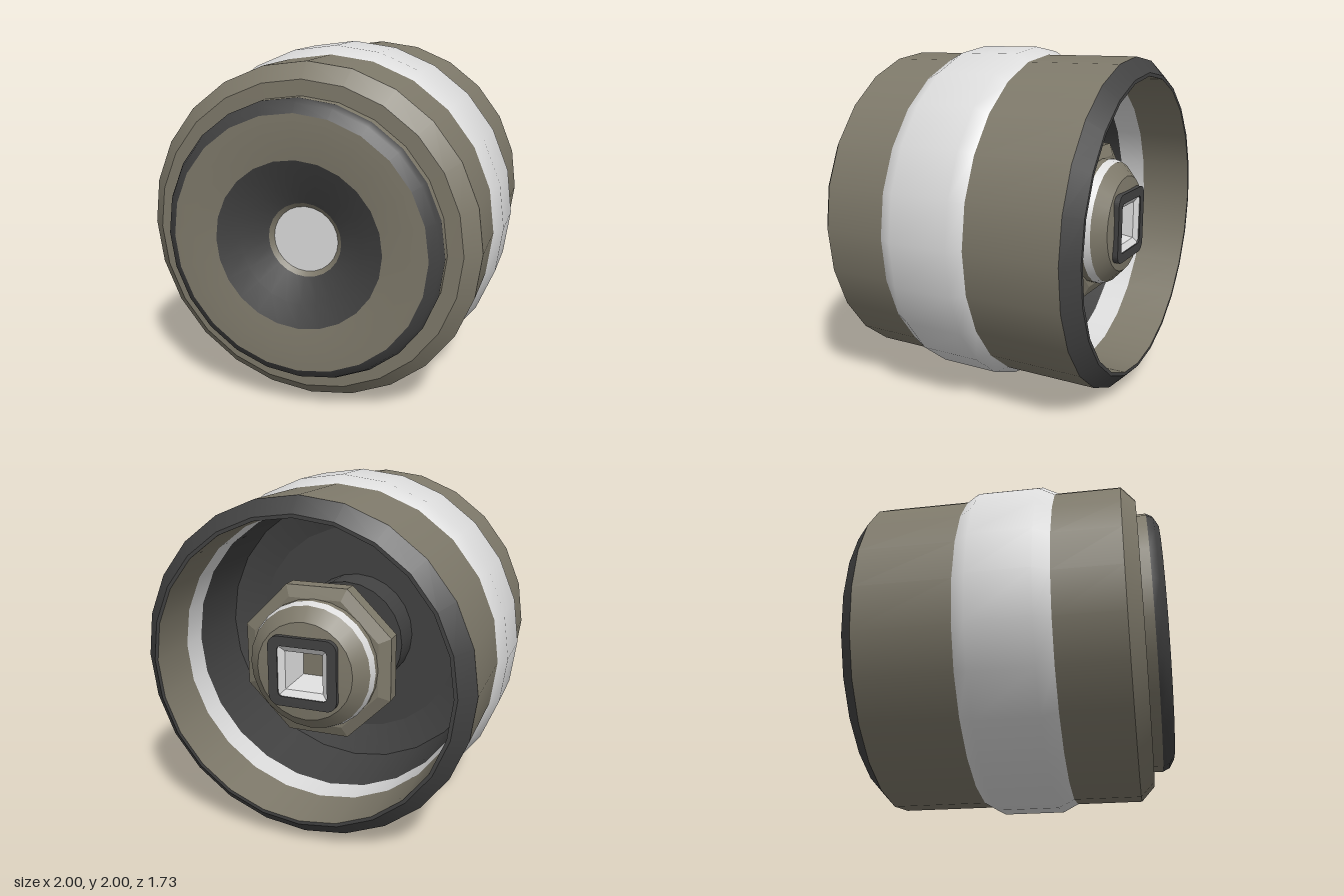
import * as THREE from 'three';

const SIDES = 24;

function material(name, color, side = THREE.FrontSide) {
  const m = new THREE.MeshStandardMaterial({ color, side });
  m.name = name;
  return m;
}

// Surface of revolution about z; points are [radius, z], outside listed towards +z
function revolve(points, sides = SIDES) {
  const g = new THREE.LatheGeometry(points.map(([r, z]) => new THREE.Vector2(r, z)), sides);
  return g.rotateX(Math.PI / 2);
}

function faceted(geometry) {
  const g = geometry.toNonIndexed();
  g.computeVertexNormals();
  return g;
}

function roundedSquare(half, r, Type = THREE.Shape) {
  const s = new Type();
  for (let i = 0; i < 4; i++) {
    const a = (i * Math.PI) / 2 + Math.PI / 4;
    const cx = Math.sign(Math.cos(a)) * (half - r);
    const cy = Math.sign(Math.sin(a)) * (half - r);
    s.absarc(cx, cy, r, (i * Math.PI) / 2, ((i + 1) * Math.PI) / 2, false);
  }
  s.closePath();
  return s;
}

export function createModel() {
  const model = new THREE.Group();
  model.name = 'canister';
  const tan = material('olive grey', 0x7e796a);
  const dark = material('charcoal', 0x424242);
  const white = material('pale grey', 0xdcdcdc);

  const body = new THREE.Group();
  body.name = 'body';
  body.position.y = 1;
  model.add(body);

  const add = (name, geometry, mat) => {
    const mesh = new THREE.Mesh(geometry, mat);
    mesh.name = name;
    body.add(mesh);
    return mesh;
  };
  const band = (name, mat, ...points) => add(name, revolve(points), mat);

  // Outer shell, back to front
  band('backRimBevel', dark, [0.87, -0.865], [0.955, -0.785]);
  band('backShell', tan, [0.955, -0.785], [0.955, -0.24]);
  band('middleBand', white, [0.955, -0.24], [1, -0.165], [1, 0.19], [0.955, 0.28]);
  band('frontShell', tan, [0.955, 0.28], [0.955, 0.66]);
  band('frontBevel', tan, [0.955, 0.66], [0.87, 0.74]);
  band('frontStep', tan, [0.87, 0.74], [0.785, 0.74]);
  band('frontCollar', tan, [0.785, 0.74], [0.785, 0.795]);

  // Front face with its funnel and centre disc
  band('frontRim', dark, [0.785, 0.795], [0.765, 0.835], [0.715, 0.865]);
  band('frontRing', tan, [0.715, 0.865], [0.6, 0.865], [0.47, 0.85]);
  band('funnel', dark, [0.47, 0.85], [0.35, 0.8], [0.21, 0.73]);
  band('funnelLip', tan, [0.21, 0.73], [0.185, 0.71]);
  band('centreDisc', white, [0.185, 0.71], [0, 0.71]);

  // Open cavity at the back
  band('cavityFloor', dark, [0, 0.1], [0.66, 0.1]);
  band('cavityFloorEdge', dark, [0.66, 0.1], [0.85, 0.04]);
  band('cavityWall', dark, [0.85, 0.04], [0.85, -0.4]);
  band('cavityStripe', white, [0.85, -0.4], [0.85, -0.56]);
  band('cavityMouth', tan, [0.85, -0.56], [0.85, -0.865]);
  band('backRim', dark, [0.85, -0.865], [0.87, -0.865]);

  // Connector standing in the cavity
  band('connectorBase', dark, [0.36, -0.12], [0.36, 0.1]);
  band('connectorBaseFace', dark, [0.26, -0.12], [0.36, -0.12]);
  band('connectorShaft', tan, [0.26, -0.5], [0.26, -0.12]);
  const nut = revolve([[0, -0.6], [0.4, -0.6], [0.47, -0.57], [0.47, -0.48], [0, -0.48]], 8);
  add('connectorNut', faceted(nut), tan).rotation.z = Math.PI / 8;
  band('connectorCollar', tan, [0.37, -0.64], [0.37, -0.6]);
  band('connectorStripe', white, [0.355, -0.685], [0.37, -0.64]);
  band('connectorShoulder', tan, [0.28, -0.755], [0.355, -0.685]);
  band('connectorCap', tan, [0.198, -0.765], [0.28, -0.755]);

  // Square socket with a dark frame and a tapering recess
  const frame = roundedSquare(0.2, 0.06);
  frame.holes.push(roundedSquare(0.145, 0.025, THREE.Path));
  const frameGeometry = new THREE.ExtrudeGeometry(frame, { depth: 0.07, bevelEnabled: false, curveSegments: 4 });
  add('socketFrame', frameGeometry.translate(0, 0, -0.79), dark);
  const recess = [[0, -0.55], [0.06, -0.55], [0.11, -0.76], [0.15, -0.785]]
    .map(([half, z]) => [half * Math.SQRT2, z]);
  add('socketRecess', faceted(revolve(recess, 4)), white).rotation.z = Math.PI / 4;

  return model;
}
